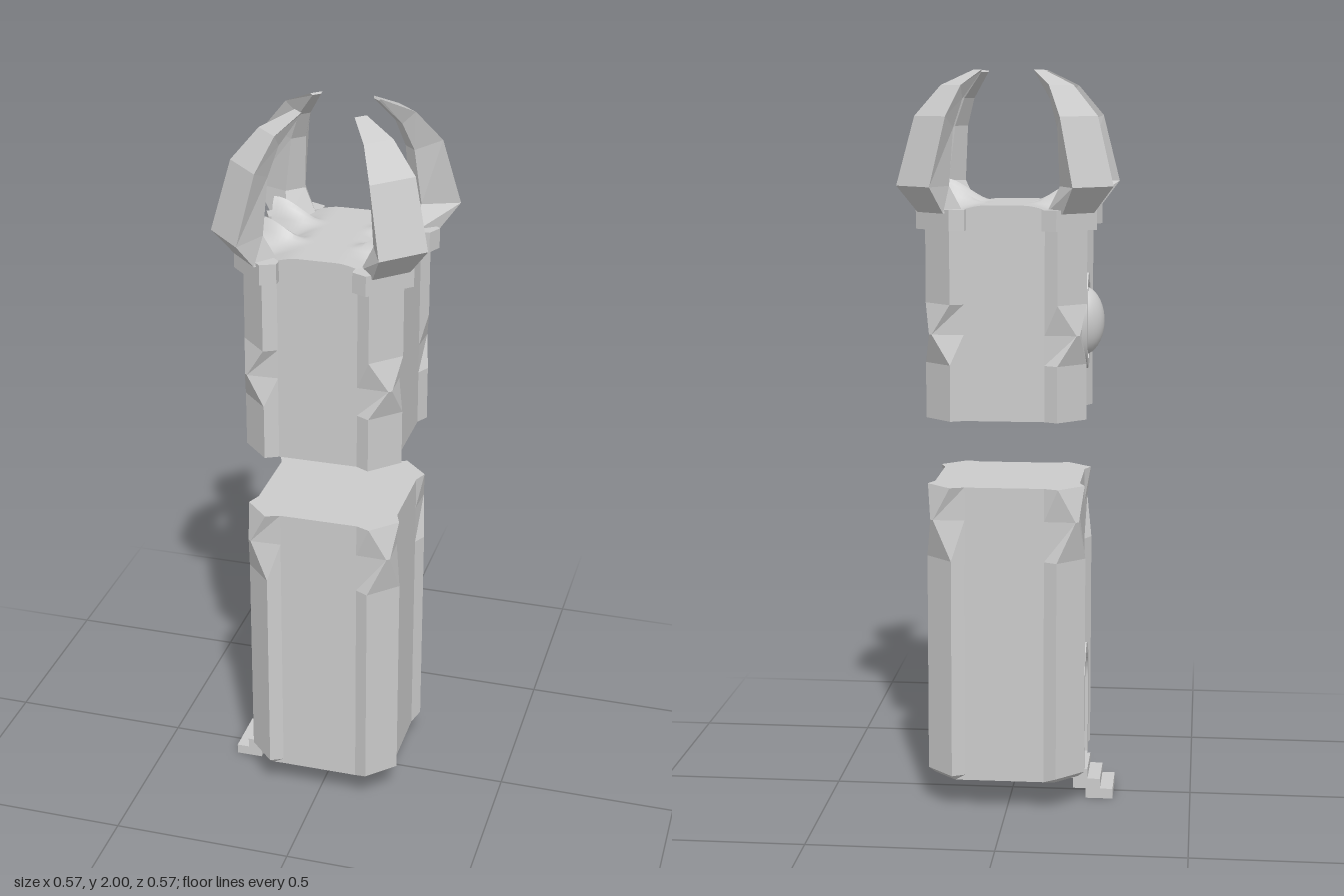
import * as THREE from 'three';
import { toCreasedNormals } from 'three/addons/utils/BufferGeometryUtils.js';

const material = new THREE.MeshStandardMaterial({ color: 0xcccccc });

function add(parent, name, geometry) {
  const mesh = new THREE.Mesh(geometry, material);
  mesh.name = name;
  parent.add(mesh);
  return mesh;
}

// Closed, flat-shaded skin over rings of points (counter-clockwise from above)
function loft(rings) {
  const out = [];
  const tri = (...points) => points.forEach((p) => out.push(...p));
  const middle = (ring) => [0, 1, 2].map((k) => ring.reduce((s, p) => s + p[k], 0) / ring.length);
  const n = rings[0].length, last = rings[rings.length - 1];
  const low = middle(rings[0]), high = middle(last);
  for (let j = 0; j < n; j++) {
    const k = (j + 1) % n;
    for (let i = 0; i < rings.length - 1; i++) {
      const a = rings[i], b = rings[i + 1];
      tri(a[j], a[k], b[k]);
      tri(a[j], b[k], b[j]);
    }
    tri(low, rings[0][k], rings[0][j]);
    tri(high, last[j], last[k]);
  }
  const geometry = new THREE.BufferGeometry();
  geometry.setAttribute('position', new THREE.Float32BufferAttribute(out, 3));
  geometry.computeVertexNormals();
  return geometry;
}

// Square plan with a pillar at each corner; a, b place the pillar's outer edges
function towerRing(y, a = 0.215, b = 0.142) {
  const corner = [[0.197, 0.107], [a, b], [b, a], [0.107, 0.197]];
  const ring = [];
  for (let q = 0; q < 4; q++) {
    const c = Math.round(Math.cos(q * Math.PI / 2)), s = Math.round(Math.sin(q * Math.PI / 2));
    for (const [u, v] of corner) ring.push([u * c - v * s, y, -(u * s + v * c)]);
  }
  return ring;
}

// Roof: flat middle, sinking to a notched rim with two teeth on each x side
function roofGeometry() {
  const n = 34, half = 0.197;
  const geometry = new THREE.PlaneGeometry(2, 2, n, n).rotateX(-Math.PI / 2);
  const rim = [[0, 1.6], [0.03, 1.6], [0.07, 1.72], [0.1, 1.64], [0.13, 1.62], [0.3, 1.62]];
  const rimHeight = (z) => {
    const i = rim.findIndex((p) => p[0] >= z) || 1;
    const [z0, y0] = rim[i - 1], [z1, y1] = rim[i];
    return y0 + (y1 - y0) * (z - z0) / (z1 - z0);
  };
  const pos = geometry.attributes.position, grow = n / (n - 2);
  for (let i = 0; i < pos.count; i++) {
    const skirt = Math.max(Math.abs(pos.getX(i)), Math.abs(pos.getZ(i))) > 0.99;
    let x = THREE.MathUtils.clamp(pos.getX(i) * grow, -1, 1) * half;
    let z = THREE.MathUtils.clamp(pos.getZ(i) * grow, -1, 1) * half;
    const t = THREE.MathUtils.smoothstep(Math.abs(x), 0.05, 0.19);
    const y = skirt ? 1.56 : 1.65 * (1 - t) + rimHeight(Math.abs(z)) * t;
    const cut = Math.min(1, 0.345 / (Math.abs(x) + Math.abs(z) + 1e-6));
    pos.setXYZ(i, x * cut, y, z * cut);
  }
  return toCreasedNormals(geometry, 0.8);
}

// Horn cross-sections: inner radius, inner y, inner width, outer radius, outer y, outer width
function hornGeometry() {
  const sections = [
    [0.2, 1.63, 0.09, 0.275, 1.63, 0.11],
    [0.235, 1.7, 0.06, 0.332, 1.7, 0.142],
    [0.215, 1.85, 0.045, 0.275, 1.88, 0.132],
    [0.18, 1.925, 0.035, 0.205, 1.96, 0.085],
    [0.112, 1.995, 0.025, 0.115, 2.0, 0.035],
  ];
  return loft(sections.map(([ri, yi, wi, ro, yo, wo]) => [
    [ro, yo, wo / 2], [ro, yo, -wo / 2], [ri, yi, -wi / 2], [ri, yi, wi / 2],
  ]));
}

function ellipse(target, rx, ry) {
  target.absellipse(0, 0, rx, ry, 0, Math.PI * 2);
  return target;
}

// Arch outline standing on y = 0
function arch(target, half, spring) {
  target.moveTo(-half, 0);
  target.lineTo(half, 0);
  target.lineTo(half, spring);
  target.absellipse(0, spring, half, half * 1.2, 0, Math.PI);
  target.lineTo(-half, 0);
  return target;
}

export function createModel() {
  const model = new THREE.Group();
  const tower = new THREE.Group();
  tower.name = 'tower';
  tower.position.x = 0.005;
  model.add(tower);

  // Two separate tower blocks, with a pointed swelling on each pillar
  add(tower, 'lowerTower', loft([
    towerRing(0.085, 0.198, 0.135), towerRing(0.1), towerRing(0.7),
    towerRing(0.81, 0.2, 0.192), towerRing(0.9, 0.212, 0.145),
  ]));
  add(tower, 'upperTower', loft([
    towerRing(1.08), towerRing(1.23), towerRing(1.31, 0.2, 0.192),
    towerRing(1.39), towerRing(1.6),
  ]));
  add(tower, 'roof', roofGeometry());

  // Corner brackets and horns
  const horn = hornGeometry();
  const plan = [[0.2, 0.1], [0.222, 0.1], [0.24, 0.14], [0.14, 0.24], [0.1, 0.222], [0.1, 0.2]];
  const bracket = loft([1.585, 1.64].map((y) => plan.map(([x, z]) => [x, y, -z])));
  for (let q = 0; q < 4; q++) {
    add(tower, 'bracket', bracket).rotation.y = q * Math.PI / 2;
    add(tower, 'horn', horn).rotation.y = Math.PI / 4 + q * Math.PI / 2;
  }

  // Fittings on the -x wall, shaped facing +z and turned
  const fittings = new THREE.Group();
  fittings.name = 'wallFittings';
  fittings.rotation.y = -Math.PI / 2;
  tower.add(fittings);
  const plate = (name, shape, y, depth) => {
    const geometry = new THREE.ExtrudeGeometry(shape, { depth, bevelEnabled: false, curveSegments: 20 });
    add(fittings, name, toCreasedNormals(geometry, 0.6)).position.set(0, y, 0.185);
  };

  // Oval window with a domed pane
  const windowRing = ellipse(new THREE.Shape(), 0.085, 0.13);
  windowRing.holes.push(ellipse(new THREE.Path(), 0.062, 0.105));
  plate('windowFrame', windowRing, 1.33, 0.027);
  const dome = add(fittings, 'windowDome', new THREE.SphereGeometry(1, 32, 20));
  dome.scale.set(0.056, 0.094, 0.06);
  dome.position.set(0, 1.33, 0.195);

  // Arched doorway
  const doorFrame = arch(new THREE.Shape(), 0.097, 0.22);
  doorFrame.holes.push(arch(new THREE.Path(), 0.072, 0.22));
  plate('doorFrame', doorFrame, 0.09, 0.027);
  plate('door', arch(new THREE.Shape(), 0.075, 0.22), 0.09, 0.014);

  // Steps
  [[-0.285, -0.21], [-0.25, -0.175], [-0.215, -0.105]].forEach(([x0, x1], i) => {
    const step = add(model, 'step', new THREE.BoxGeometry(x1 - x0, 0.028, 0.142));
    step.position.set((x0 + x1) / 2, 0.014 + i * 0.028, 0);
  });
  return model;
}
